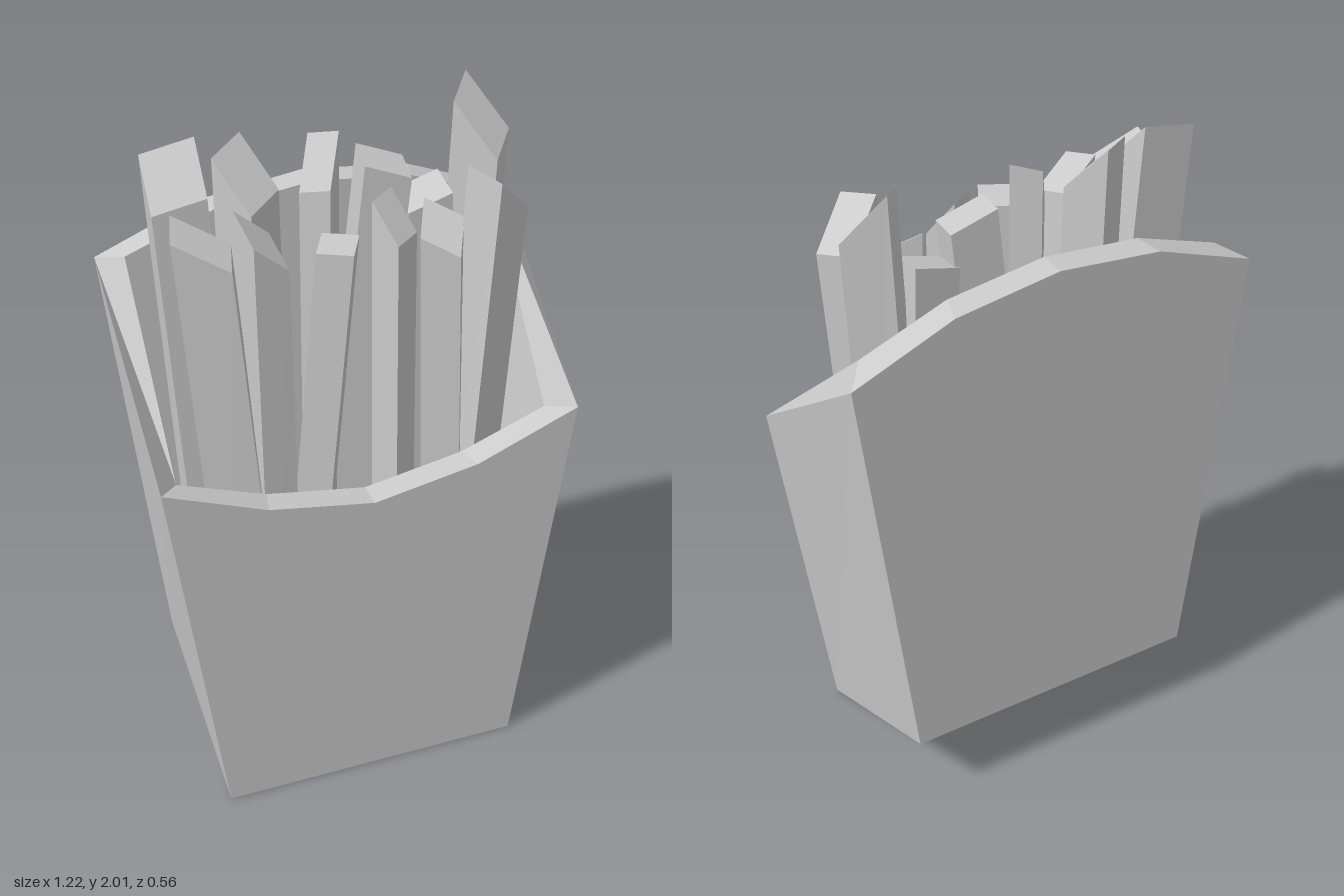
import * as THREE from 'three';

const material = new THREE.MeshStandardMaterial({ color: 0xcccccc, flatShading: true });

// Ten-point loop: front edge left to right, then back edge right to left.
// Each edge runs corner, quarter, centre, quarter, corner.
function loop(xs, z, frontY, backY) {
  const edge = [0, 1, 2, 1, 0];
  const signed = edge.map((k, i) => (i < 2 ? -xs[k] : xs[k]));
  return [
    ...edge.map((k, i) => [signed[i], frontY[k], z]),
    ...edge.map((k, i) => [-signed[i], backY[k], -z]),
  ];
}

// Carton skin: underside, outer wall, rim, inner wall and inner floor
function cartonGeometry() {
  const loops = [
    loop([0.45, 0.23, 0], 0.28, [0, 0, 0], [0.25, 0.25, 0.25]),
    loop([0.61, 0.31, 0], 0.28, [1.14, 1.02, 0.965], [1.57, 1.69, 1.73]),
    loop([0.545, 0.29, 0], 0.2, [1.11, 1.015, 0.965], [1.6, 1.695, 1.73]),
    loop([0.4, 0.21, 0], 0.2, [0.1, 0.1, 0.1], [0.28, 0.28, 0.28]),
  ];
  const n = 10;
  const index = [];
  for (let r = 0; r < loops.length - 1; r++) {
    for (let i = 0; i < n; i++) {
      const a = r * n + i, b = r * n + ((i + 1) % n);
      index.push(a, b, b + n, a, b + n, a + n);
    }
  }
  const floor = (loops.length - 1) * n;
  for (let i = 1; i < n - 1; i++) {
    index.push(0, i + 1, i);
    index.push(floor, floor + i, floor + i + 1);
  }
  const geometry = new THREE.BufferGeometry();
  geometry.setAttribute('position', new THREE.Float32BufferAttribute(loops.flat(2), 3));
  geometry.setIndex(index);
  const flat = geometry.toNonIndexed();
  flat.computeVertexNormals();
  return flat;
}

// One fry: a turned box with an oblique cut on top and a leaning body
function fryGeometry([x, z, width, depth, turn, height, slopeX, slopeZ, leanX, leanZ]) {
  const geometry = new THREE.BoxGeometry(width, 1, depth);
  geometry.rotateY(-THREE.MathUtils.degToRad(turn));
  const p = geometry.attributes.position;
  for (let i = 0; i < p.count; i++) {
    const dx = p.getX(i), dz = p.getZ(i);
    if (p.getY(i) > 0) p.setXYZ(i, x + dx, height + slopeX * dx + slopeZ * dz, z + dz);
    else p.setXYZ(i, x + dx + leanX, 0.3, z + dz + leanZ);
  }
  geometry.computeVertexNormals();
  return geometry;
}

// top x, top z, width, depth, turn in degrees, height, cut slope x and z, foot offset x and z
const backFries = [
  [-0.44, -0.055, 0.15, 0.12, 3, 1.89, 0.25, -1.0, 0.1, 0.02],
  [-0.245, -0.05, 0.122, 0.13, 53, 1.865, -0.53, -1.0, 0.03, 0.01],
  [-0.04, -0.048, 0.086, 0.09, 35, 1.865, 1.0, -1.1, 0, 0.01],
  [0.15, -0.06, 0.13, 0.11, 8, 1.83, -0.35, -0.2, -0.15, -0.02],
  [0.265, -0.055, 0.13, 0.11, 0, 1.72, 0.3, -0.2, 0.03, 0.01],
  [0.435, -0.063, 0.128, 0.115, 39, 1.915, -0.7, -1.05, -0.08, 0.02],
];
const frontFries = [
  [-0.42, 0.105, 0.155, 0.125, 17, 1.77, -0.5, -0.3, 0.12, 0.02],
  [-0.258, 0.11, 0.1, 0.13, -5, 1.75, -0.9, -0.3, 0.03, -0.01],
  [-0.06, 0.145, 0.1, 0.115, 28, 1.72, 0, 0, -0.1, -0.05],
  [0.118, 0.1, 0.085, 0.09, 55, 1.745, -0.7, -1.1, 0.01, 0.01],
  [0.255, 0.105, 0.11, 0.11, 27, 1.69, -0.15, -0.75, 0.03, 0.01],
  [0.41, 0.115, 0.13, 0.11, -31, 1.79, -0.9, 0.3, -0.1, 0.01],
];

export function createModel() {
  const model = new THREE.Group();
  model.name = 'friesInCarton';

  const carton = new THREE.Mesh(cartonGeometry(), material);
  carton.name = 'carton';
  model.add(carton);

  // Two rows of fries
  for (const [name, row] of [['backFries', backFries], ['frontFries', frontFries]]) {
    const group = new THREE.Group();
    group.name = name;
    for (const spec of row) {
      const fry = new THREE.Mesh(fryGeometry(spec), material);
      fry.name = 'fry';
      group.add(fry);
    }
    model.add(group);
  }
  return model;
}
